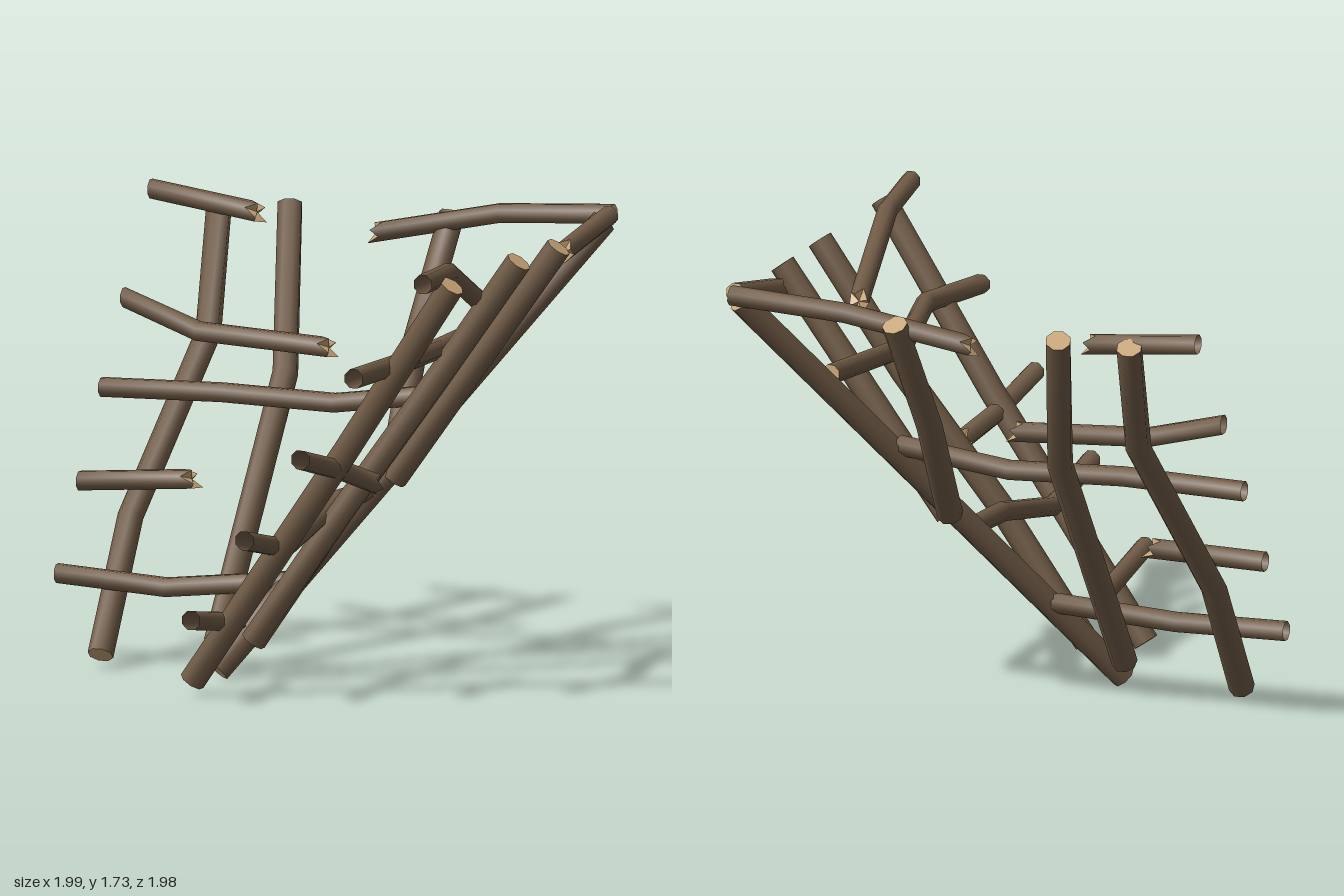
import * as THREE from 'three';

const SIDES = 8;
const JAG = [0.02, -0.02, 0.02, -0.03, 0.01, -0.015, 0.025, -0.02];

const bark = new THREE.MeshStandardMaterial({ color: 0x705b46, side: THREE.DoubleSide });
bark.name = 'bark brown';
const cutWood = new THREE.MeshStandardMaterial({ color: 0xc6a478, side: THREE.DoubleSide });
cutWood.name = 'cut wood tan';

// Fan that closes a ring of points with flat facets
function capGeometry(ring, center, flip) {
  const pts = [];
  for (let j = 0; j < SIDES; j++) {
    const a = ring[j], b = ring[(j + 1) % SIDES];
    pts.push(center, flip ? b : a, flip ? a : b);
  }
  const g = new THREE.BufferGeometry().setFromPoints(pts);
  g.computeVertexNormals();
  return g;
}

// A crooked pole through the points.
// start: 'cap' or 'open' (cut square to the main axis); end: 'cap' or 'broken'
function pole(name, coords, radius, start, end) {
  const group = new THREE.Group();
  group.name = name;
  const path = coords.map((c) => new THREE.Vector3(...c));
  const last = path.length - 1;
  const up = new THREE.Vector3(0, 1, 0);

  const rings = path.map((p, i) => {
    const t = new THREE.Vector3();
    if (i > 0) t.add(p.clone().sub(path[i - 1]).normalize());
    if (i < last) t.add(path[i + 1].clone().sub(p).normalize());
    t.normalize();
    if (i === 0 && start === 'open') {
      if (Math.abs(t.x) > Math.abs(t.z)) t.set(Math.sign(t.x), 0, 0);
      else t.set(0, 0, Math.sign(t.z));
    }
    const u = up.clone().cross(t).normalize();
    const v = t.clone().cross(u);
    return Array.from({ length: SIDES }, (_, j) => {
      const a = ((j + 0.5) / SIDES) * Math.PI * 2;
      const q = p.clone().addScaledVector(u, Math.cos(a) * radius).addScaledVector(v, Math.sin(a) * radius);
      // splintered tip, sloping back towards the top
      if (i === last && end === 'broken') q.addScaledVector(t, JAG[j] - 0.015 * Math.sin(a));
      return q;
    });
  });

  const index = [];
  for (let i = 0; i < last; i++) {
    for (let j = 0; j < SIDES; j++) {
      const k = (j + 1) % SIDES;
      const a = i * SIDES + j, b = i * SIDES + k;
      const c = b + SIDES, d = a + SIDES;
      index.push(a, b, c, a, c, d);
    }
  }
  const geo = new THREE.BufferGeometry().setFromPoints(rings.flat());
  geo.setIndex(index);
  geo.computeVertexNormals();
  const add = (part, g, m) => {
    const mesh = new THREE.Mesh(g, m);
    mesh.name = part;
    group.add(mesh);
  };
  add(name + 'Bark', geo, bark);
  if (start === 'cap') add(name + 'StartCut', capGeometry(rings[0], path[0], true), cutWood);
  add(name + 'EndCut', capGeometry(rings[last], path[last], false), cutWood);
  return group;
}

export function createModel() {
  const model = new THREE.Group();
  model.name = 'brokenRoofFrame';
  const RAFTER = 0.05, BATTEN = 0.039;

  // Hip pole along the corner where both slopes meet
  model.add(pole('hipPole', [[-0.25, 0.05, 0.23], [0.88, 1.69, -0.89]], RAFTER, 'cap', 'cap'));

  // Rafters of the back slope, then of the side slope
  const rafters = {
    backRafter: [
      [[-0.76, 0.07, 0.16], [-0.79, 0.55, -0.21], [-0.66, 1.2, -0.67], [-0.73, 1.67, -0.95]],
      [[-0.305, 0.14, 0.1], [-0.305, 1.08, -0.58], [-0.44, 1.67, -0.95]],
      [[0.25, 0.77, -0.31], [0.19, 1.21, -0.68], [0.228, 1.67, -0.95]],
    ],
    sideRafter: [
      [[-0.175, 0.073, 0.66], [0.47, 1.0, 0.69], [0.95, 1.68, 0.79]],
      [[-0.105, 0.17, 0.22], [0.25, 0.68, 0.215], [0.6, 1.2, 0.1], [0.95, 1.68, 0.125]],
      [[0.28, 0.75, -0.25], [0.95, 1.68, -0.27]],
    ],
  };
  for (const [name, list] of Object.entries(rafters)) {
    list.forEach((pts, i) => model.add(pole(name + (i + 1), pts, RAFTER, 'cap', 'cap')));
  }

  // Battens of the back slope
  const backBattens = [
    ['broken', [[-1, 1.7, -0.92], [-0.54, 1.645, -0.865]]],
    ['broken', [[-1, 1.32, -0.65], [-0.66, 1.22, -0.57], [-0.12, 1.19, -0.565]]],
    ['cap', [[-1, 1.005, -0.43], [-0.5, 1.015, -0.42], [-0.04, 1.0, -0.43], [0.41, 1.06, -0.44]]],
    ['broken', [[-1, 0.675, -0.21], [-0.56, 0.7, -0.265]]],
    ['cap', [[-1, 0.35, 0.01], [-0.53, 0.33, 0.06], [-0.05, 0.375, 0.005]]],
  ];
  backBattens.forEach(([end, pts], i) => model.add(pole('backBatten' + (i + 1), pts, BATTEN, 'open', end)));

  // Battens of the side slope
  const sideBattens = [
    ['broken', [[0.91, 1.71, 0.985], [0.85, 1.695, 0.58], [0.738, 1.49, -0.01]]],
    ['cap', [[0.625, 1.33, 0.985], [0.69, 1.35, 0.57], [0.58, 1.31, 0.04], [0.625, 1.355, -0.6]]],
    ['broken', [[0.405, 1.005, 0.985], [0.435, 0.92, 0.65], [0.505, 0.85, 0.48]]],
    ['cap', [[0.175, 0.68, 0.985], [0.175, 0.595, 0.58], [0.17, 0.705, 0.04], [0.19, 0.705, -0.19]]],
    ['broken', [[-0.045, 0.36, 0.985], [-0.063, 0.285, 0.49]]],
  ];
  sideBattens.forEach(([end, pts], i) => model.add(pole('sideBatten' + (i + 1), pts, BATTEN, 'open', end)));

  // Ridge battens that meet at the top of the hip
  model.add(pole('backRidgeBatten', [[0.91, 1.715, -0.915], [0.44, 1.69, -0.92], [-0.05, 1.595, -0.87]], BATTEN, 'cap', 'broken'));
  model.add(pole('sideRidgeBatten', [[0.908, 1.715, -0.875], [0.895, 1.635, -0.455]], BATTEN, 'cap', 'broken'));

  return model;
}
